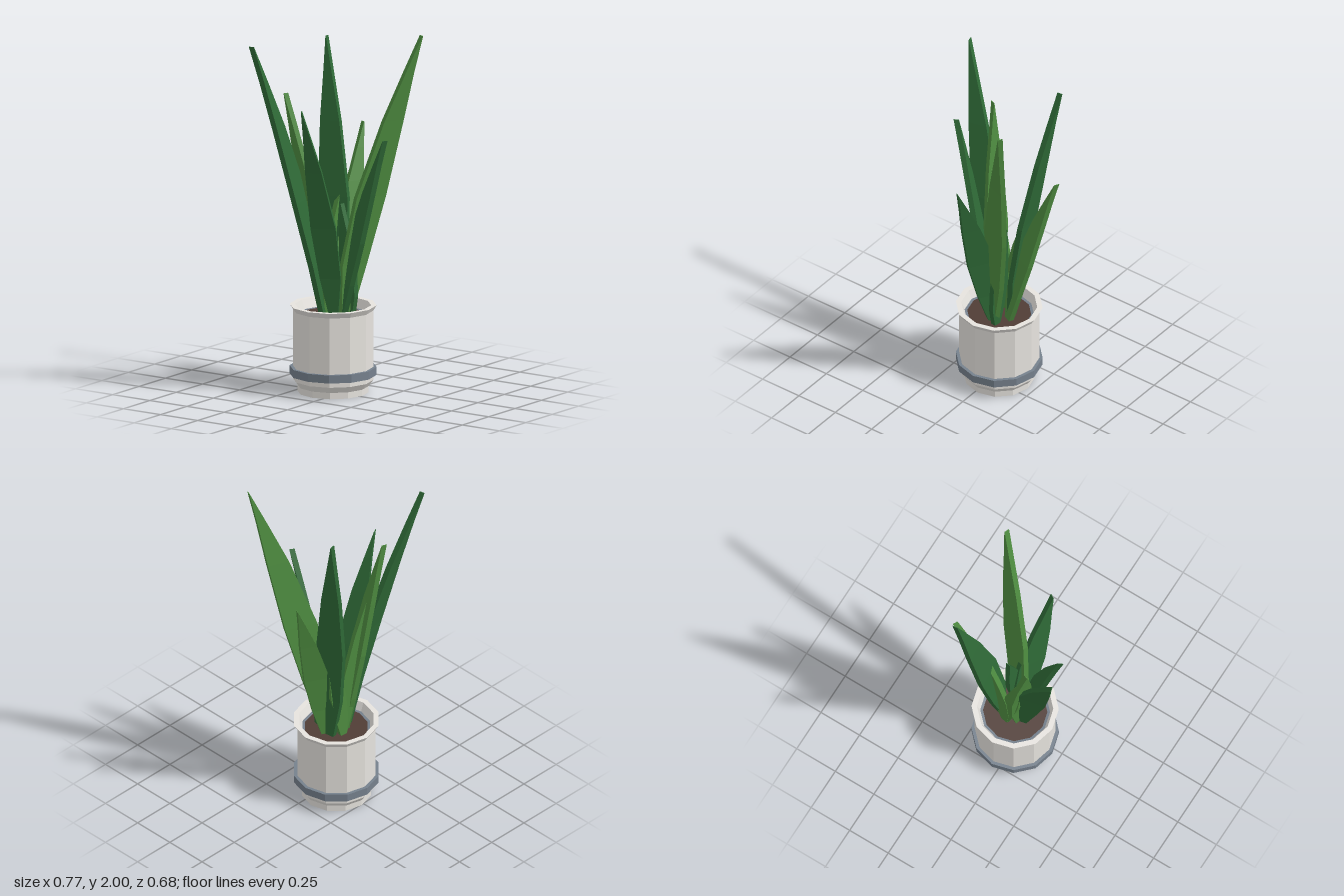
import * as THREE from 'three';

const colour = (name, hex) => {
  const m = new THREE.MeshStandardMaterial({ color: hex });
  m.name = name;
  return m;
};

// Faceted copy with one normal per face
function faceted(geometry) {
  const g = geometry.toNonIndexed();
  g.computeVertexNormals();
  return g;
}

// Twelve-sided turned part from [radius, height] pairs
function turned(points) {
  return faceted(new THREE.LatheGeometry(points.map(([r, y]) => new THREE.Vector2(r, y)), 12));
}

// Blade width along its length: [fraction of length, fraction of full width]
const BLADE = [[0, 0.32], [0.19, 0.83], [0.43, 1], [0.7, 0.66], [0.87, 0.29], [1, 0.02]];
const THICKNESS = 0.03;

// Flat pointed blade from base to tip, leaning further out towards the tip.
// across = horizontal direction of its width
function blade({ base, tip, across, width }) {
  const box = new THREE.BoxGeometry(1, 1, 1, 1, BLADE.length - 1, 1);
  const pos = box.attributes.position;
  const len = Math.hypot(across[0], across[1]);
  const wx = across[0] / len, wz = across[1] / len;
  for (let i = 0; i < pos.count; i++) {
    const [f, w] = BLADE[Math.round((pos.getY(i) + 0.5) * (BLADE.length - 1))];
    const lean = Math.pow(f, 1.32);
    const u = pos.getX(i) * w * width;
    const t = pos.getZ(i) * THICKNESS;
    pos.setXYZ(i,
      base[0] + (tip[0] - base[0]) * lean + wx * u - wz * t,
      0.42 + (tip[1] - 0.42) * f,
      base[1] + (tip[2] - base[1]) * lean + wz * u + wx * t);
  }
  return faceted(box);
}

export function createModel() {
  const ceramic = colour('pale ceramic', 0xe6e3de);
  const slate = colour('slate band', 0x76818d);
  const earth = colour('soil', 0x503d36);
  const fresh = colour('fresh green', 0x4e8c40);
  const deep = colour('deep green', 0x2f6a37);

  const model = new THREE.Group();
  model.name = 'pottedPlant';
  const add = (parent, name, geometry, material) => {
    const mesh = new THREE.Mesh(geometry, material);
    mesh.name = name;
    parent.add(mesh);
  };

  // Pot, standing slightly behind the plant's centre
  const pot = new THREE.Group();
  pot.name = 'pot';
  pot.position.set(0.017, 0, -0.06);
  model.add(pot);
  add(pot, 'potBody', turned([
    [0, 0], [0.196, 0], [0.196, 0.035], [0.222, 0.07], [0.222, 0.46],
    [0.24, 0.49], [0.21, 0.49], [0.192, 0.438],
  ]), ceramic);
  add(pot, 'potBand', turned([
    [0.222, 0.098], [0.24, 0.098], [0.24, 0.143], [0.222, 0.143],
  ]), slate);
  add(pot, 'innerRing', turned([[0.192, 0.438], [0.177, 0.436]]), slate);
  add(pot, 'soil', turned([[0.177, 0.436], [0, 0.436]]), earth);

  // Leaves
  const leaves = new THREE.Group();
  leaves.name = 'leaves';
  model.add(leaves);
  const list = [
    { name: 'frontLeftTallLeaf', base: [0.03, 0.01], tip: [0.313, 2.0, 0.325], across: [0.9, 0.38], width: 0.19, mat: fresh },
    { name: 'backRightTallLeaf', base: [-0.04, -0.08], tip: [-0.385, 1.98, -0.325], across: [0.97, -0.2], width: 0.165, mat: deep },
    { name: 'backLeftTallLeaf', base: [0.085, -0.08], tip: [0.268, 1.93, -0.28], across: [0.15, 1], width: 0.18, mat: deep },
    { name: 'leftLeaf', base: [0.09, -0.05], tip: [0.373, 1.45, -0.112], across: [0.87, 0.45], width: 0.145, mat: fresh },
    { name: 'frontLeaf', base: [0.018, 0.0], tip: [0.002, 1.46, 0.3], across: [-0.5, 0.86], width: 0.16, mat: deep },
    { name: 'rightLeaf', base: [-0.015, -0.03], tip: [-0.28, 1.63, -0.062], across: [0.45, 0.9], width: 0.14, mat: deep },
    { name: 'backRightLeaf', base: [-0.02, -0.09], tip: [-0.168, 1.69, -0.247], across: [-0.35, 0.94], width: 0.14, mat: fresh },
    { name: 'backLeftShortLeaf', base: [0.035, -0.125], tip: [0.148, 1.1, -0.115], across: [1, 0.13], width: 0.1, mat: fresh },
    { name: 'backRightShortLeaf', base: [0.03, -0.12], tip: [-0.122, 1.36, -0.172], across: [0.96, 0.27], width: 0.1, mat: fresh },
    { name: 'middleShortLeaf', base: [0.06, 0.03], tip: [0.075, 1.05, -0.04], across: [-0.12, 1], width: 0.11, mat: deep },
  ];
  for (const leaf of list) add(leaves, leaf.name, blade(leaf), leaf.mat);

  return model;
}
